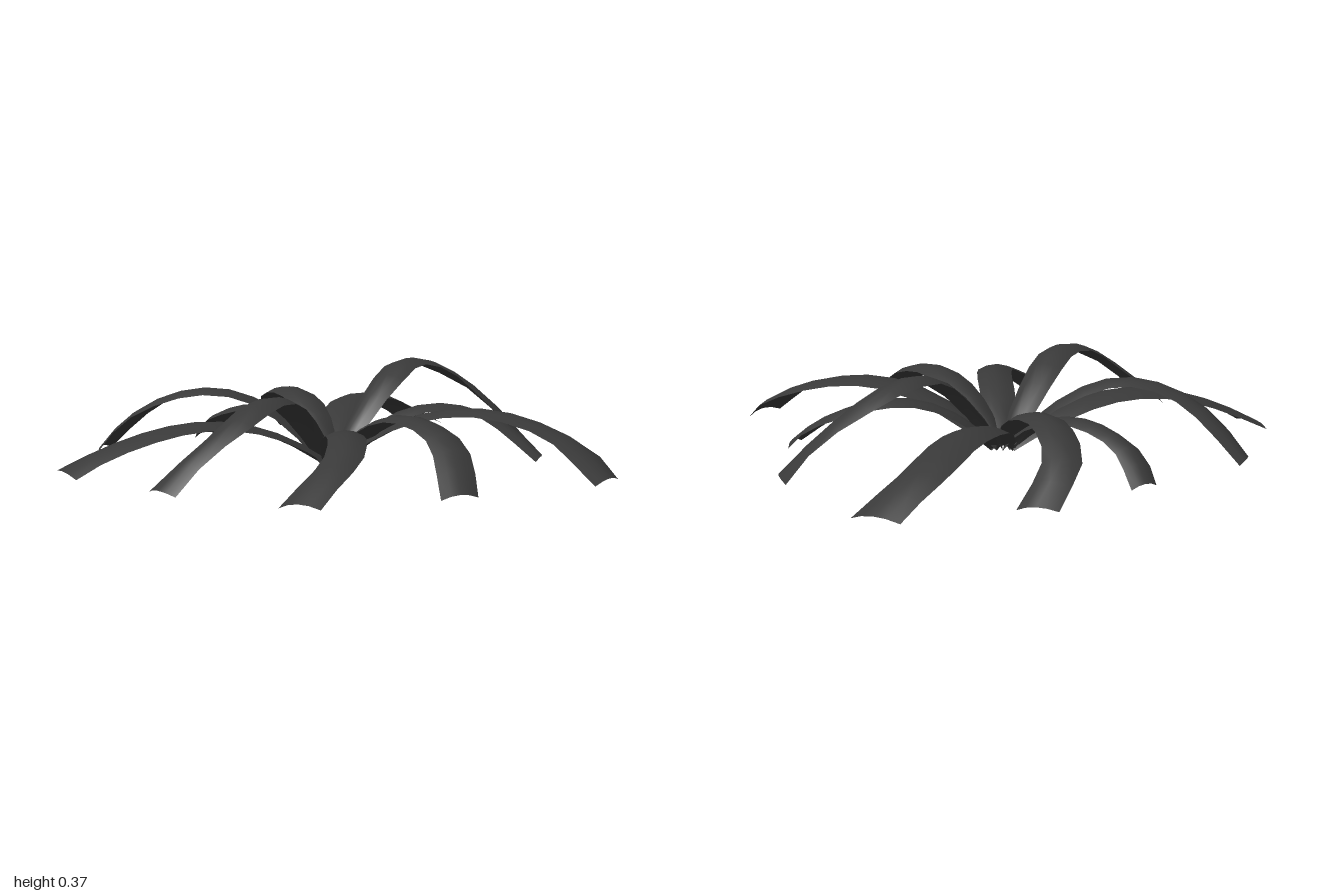
import * as THREE from 'three';

const ROWS = 10, COLS = 4;
const CROWN = new THREE.Vector2(0.07, -0.01);

// name, leaf width, peak height, then the ground plan of the midrib (x, z) from root to tip
const LEAVES = [
  ['northLeaf', 0.14, 0.25, [0.085, -0.3], [0.075, -0.57], [0.115, -0.77], [0.26, -0.905]],
  ['northEastLeaf', 0.175, 0.21, [0.27, -0.36], [0.43, -0.54], [0.59, -0.7], [0.81, -0.825]],
  ['tallEastLeaf', 0.14, 0.375, [0.33, -0.13], [0.53, -0.275], [0.76, -0.325], [0.995, -0.22]],
  ['eastLeaf', 0.125, 0.23, [0.35, 0.02], [0.55, 0.045], [0.71, 0.11], [0.83, 0.275]],
  ['southEastLeaf', 0.175, 0.25, [0.4, 0.27], [0.62, 0.45], [0.765, 0.62], [0.825, 0.82]],
  ['southLeaf', 0.14, 0.25, [0.14, 0.22], [0.21, 0.48], [0.245, 0.68], [0.185, 0.93]],
  ['southWestLeaf', 0.14, 0.21, [0.0, 0.25], [-0.075, 0.52], [-0.18, 0.73], [-0.4, 0.895]],
  ['tallWestLeaf', 0.14, 0.325, [-0.13, 0.15], [-0.32, 0.34], [-0.5, 0.465], [-0.77, 0.485]],
  ['westLeaf', 0.19, 0.2, [-0.24, 0], [-0.5, 0.01], [-0.75, 0.01], [-0.99, -0.025]],
  ['northWestLeaf', 0.13, 0.3, [-0.13, -0.13], [-0.37, -0.22], [-0.56, -0.35], [-0.7, -0.56]],
  ['shortLeaf', 0.11, 0.2, [-0.03, -0.26], [-0.14, -0.45], [-0.205, -0.6], [-0.205, -0.76]],
];

// Height of the midrib: a quick rise from the root, then a droop to the tip
function archHeight(t, peak) {
  const top = 0.48, root = 0.025, tip = 0.04;
  return t < top
    ? peak - (peak - root) * Math.pow(1 - t / top, 2)
    : peak - (peak - tip) * Math.pow((t - top) / (1 - top), 1.9);
}

// A strap-shaped blade, arched along its length, bowed across its width, with a slanted tip
function leafGeometry(width, peak, plan) {
  const root = new THREE.Vector2(...plan[0]).sub(CROWN).setLength(0.016).add(CROWN);
  const path = new THREE.CatmullRomCurve3(
    [root.toArray(), ...plan].map(([x, z]) => new THREE.Vector3(x, 0, z)));
  const up = new THREE.Vector3(0, 1, 0);
  const midrib = (t) => path.getPointAt(t).setY(archHeight(t, peak));
  const positions = [], index = [];

  for (let i = 0; i <= ROWS; i++) {
    const t = i / ROWS;
    const centre = midrib(t);
    const tangent = midrib(Math.min(1, t + 0.02)).sub(midrib(Math.max(0, t - 0.02))).normalize();
    const side = tangent.clone().cross(up).normalize();
    const normal = side.clone().cross(tangent);
    const heading = up.clone().cross(side);
    const half = width / 2 * (0.5 + 0.5 * Math.min(1, Math.sqrt(t / 0.25)));
    for (let j = 0; j <= COLS; j++) {
      const s = j / COLS * 2 - 1;
      const p = centre.clone()
        .addScaledVector(side, s * half)
        .addScaledVector(normal, -0.022 * s * s)
        .addScaledVector(heading, 0.35 * half * s * Math.pow(t, 4));
      positions.push(p.x, Math.max(0, p.y), p.z);
      if (i < ROWS && j < COLS) {
        const a = i * (COLS + 1) + j, b = a + COLS + 1;
        index.push(a, a + 1, b, a + 1, b + 1, b);
      }
    }
  }
  const geometry = new THREE.BufferGeometry();
  geometry.setAttribute('position', new THREE.Float32BufferAttribute(positions, 3));
  geometry.setIndex(index);
  geometry.computeVertexNormals();
  return geometry;
}

export function createModel() {
  const plant = new THREE.Group();
  plant.name = 'plant';
  const material = new THREE.MeshStandardMaterial({ color: 0x393939, side: THREE.DoubleSide });
  for (const [name, width, peak, ...plan] of LEAVES) {
    const leaf = new THREE.Mesh(leafGeometry(width, peak, plan), material);
    leaf.name = name;
    plant.add(leaf);
  }
  return plant;
}
